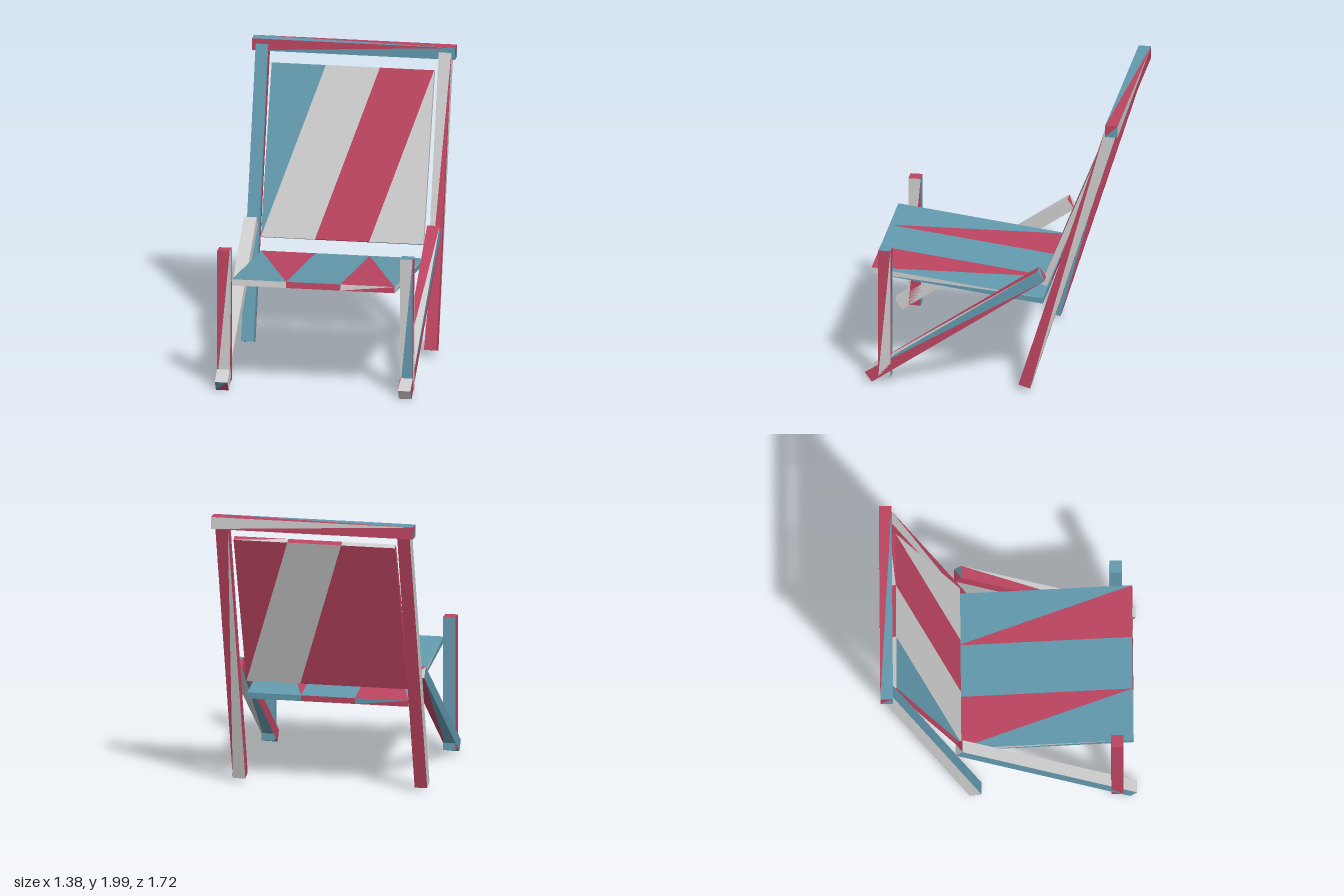
import * as THREE from 'three';

const BAR_W = 0.086, BAR_T = 0.083, BAR_X = 0.623, PANEL_W = 1.106;
const PALETTE = 'GBR'; // grey, blue, red

const materials = [0xcccccc, 0x6299ad, 0xbb4460].map(
  (color) => new THREE.MeshStandardMaterial({ color, flatShading: true })
);

// Box whose triangles are painted one by one, in the order px nx py ny pz nz
function paintedBox(name, size, segments, colors) {
  const geometry = new THREE.BoxGeometry(...size, ...segments);
  geometry.clearGroups();
  [...colors.replace(/ /g, '')].forEach((c, i) => geometry.addGroup(i * 3, 3, PALETTE.indexOf(c)));
  const mesh = new THREE.Mesh(geometry, materials);
  mesh.name = name;
  return mesh;
}

// Leans a part so its y axis runs from one [z, y] point to another
function span(mesh, x, [z0, y0], [z1, y1]) {
  mesh.position.set(x, (y0 + y1) / 2, (z0 + z1) / 2);
  mesh.rotation.x = Math.atan2(z1 - z0, y1 - y0);
  return mesh;
}

const distance = (a, b) => Math.hypot(b[0] - a[0], b[1] - a[1]);

export function createModel() {
  const chair = new THREE.Group();
  chair.name = 'deckChair';

  // Side frames, each with its own paint
  const sides = [
    {
      prefix: 'left', x: BAR_X,
      back: 'GR RR GR GR RR RR',
      brace: 'BR RR RB GG RG GB',
      front: 'RG BB BB GG GB RB',
    },
    {
      prefix: 'right', x: -BAR_X,
      back: 'RB GG RR BB RR RR',
      brace: 'GG BB GR BR GG RB',
      front: 'GR RR RR GG RG BB',
    },
  ];
  for (const { prefix, x, back, brace, front } of sides) {
    // Tall leaning rear post
    const b0 = [-0.223, 0.043], b1 = [-0.815, 1.953];
    const post = paintedBox(prefix + 'BackPost', [BAR_W, BAR_T, distance(b0, b1)], [1, 1, 1], back);
    post.geometry.rotateX(-Math.PI / 2);
    chair.add(span(post, x, b0, b1));

    // Diagonal bar from the front foot up to the rear post
    const d0 = [0.838, 0.04], d1 = [-0.335, 0.855];
    chair.add(span(paintedBox(prefix + 'DiagonalBar', [BAR_W, distance(d0, d1), BAR_T], [1, 1, 1], brace), x, d0, d1));

    // Upright front post
    const f0 = [0.729, 0.043], f1 = [0.729, 0.968];
    chair.add(span(paintedBox(prefix + 'FrontPost', [BAR_W, distance(f0, f1), BAR_T], [1, 1, 1], front), x, f0, f1));
  }

  // Top rail across the rear posts
  const rail = paintedBox('topRail', [0.085, 0.083, 1.383], [1, 1, 1], 'GR RB BR GG RB RB');
  rail.geometry.rotateY(Math.PI / 2);
  rail.position.set(0, 1.9585, -0.8205);
  chair.add(rail);

  // Striped backrest panel
  const r0 = [-0.338, 0.745], r1 = [-0.772, 1.838];
  chair.add(span(
    paintedBox('backrest', [PANEL_W, distance(r0, r1), 0.042], [3, 1, 1],
      'GG RR GGRRGR GGRRBB BGGRRG RGGRRR'),
    0, r0, r1
  ));

  // Striped seat panel, sloping down to the rear
  const s0 = [-0.333, 0.629], s1 = [0.837, 0.771];
  const seat = paintedBox('seat', [distance(s0, s1), 0.042, PANEL_W], [1, 1, 3],
    'BBRRBR GGRRGR BRBBRB GGGBBR GB GB');
  seat.geometry.rotateY(Math.PI / 2).rotateX(-Math.PI / 2);
  chair.add(span(seat, 0, s0, s1));

  return chair;
}
